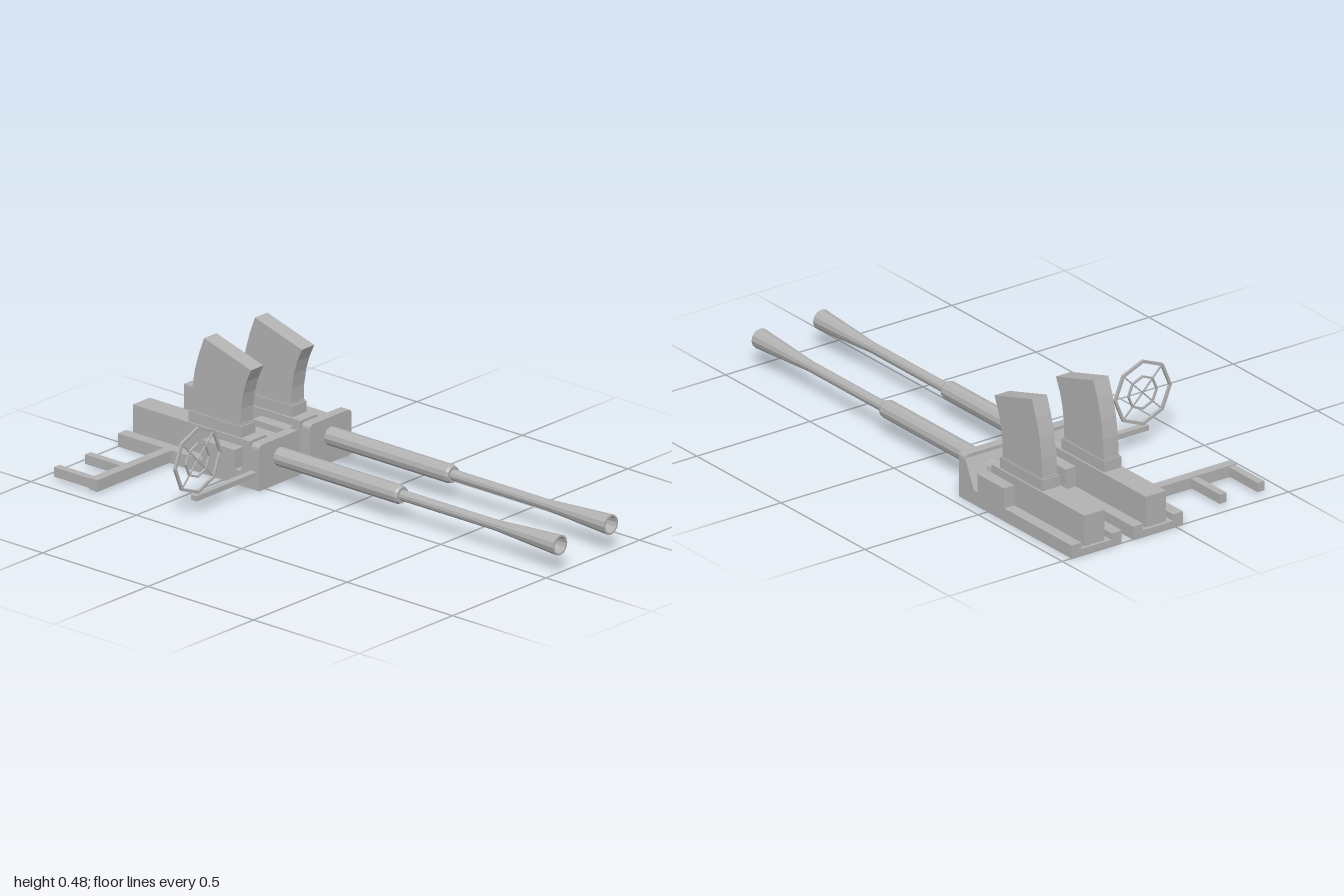
import * as THREE from 'three';

const steel = new THREE.MeshStandardMaterial({ color: 0xb2b2b2, flatShading: true });
steel.name = 'steelGrey';

function add(parent, name, geometry) {
  const mesh = new THREE.Mesh(geometry, steel);
  mesh.name = name;
  parent.add(mesh);
  return mesh;
}

// Box given by its minimum and maximum on each axis
function box(parent, name, x0, x1, y0, y1, z0, z1) {
  const mesh = add(parent, name, new THREE.BoxGeometry(x1 - x0, y1 - y0, z1 - z0));
  mesh.position.set((x0 + x1) / 2, (y0 + y1) / 2, (z0 + z1) / 2);
  return mesh;
}

// Side profile of [z, y] points, extruded across x and centred on x = 0
function sideExtrude(parent, name, points, width) {
  const shape = new THREE.Shape(points.map(([z, y]) => new THREE.Vector2(-z, y)));
  const geometry = new THREE.ExtrudeGeometry(shape, { depth: width, bevelEnabled: false });
  geometry.translate(0, 0, -width / 2).rotateY(Math.PI / 2);
  return add(parent, name, geometry);
}

function createGun(name, x) {
  const gun = new THREE.Group();
  gun.name = name;
  gun.position.x = x;
  const half = 0.111;

  // Cradle: floor, side rails and cheek blocks
  box(gun, 'cradleFloor', -half, half, 0, 0.025, -1, -0.37);
  for (const s of [-1, 1]) {
    const a = s * 0.066, b = s * half, c = s * 0.113;
    box(gun, 'rail', Math.min(a, b), Math.max(a, b), 0.025, 0.05, -1, -0.43);
    box(gun, 'cheekBlock', Math.min(a, c), Math.max(a, c), 0.02, 0.128, -0.6, -0.445);
  }

  // Front plate with rounded upper corners
  const r = 0.02, top = 0.173;
  const plate = new THREE.Shape();
  plate.moveTo(-half, 0);
  plate.lineTo(half, 0);
  plate.lineTo(half, top - r);
  plate.quadraticCurveTo(half, top, half - r, top);
  plate.lineTo(-half + r, top);
  plate.quadraticCurveTo(-half, top, -half, top - r);
  const plateGeometry = new THREE.ExtrudeGeometry(plate, { depth: 0.038, bevelEnabled: false, curveSegments: 4 });
  add(gun, 'frontPlate', plateGeometry).position.z = -0.368;
  sideExtrude(gun, 'plateBrace', [[-0.368, 0.02], [-0.368, 0.16], [-0.42, 0.055], [-0.445, 0.055], [-0.445, 0.02]], half * 2);

  // Receiver
  box(gun, 'receiver', -0.045, 0.045, 0.025, 0.144, -0.987, -0.435);

  // Curved magazine in a stepped collar
  box(gun, 'magazineCollar', -0.038, 0.038, 0.144, 0.186, -0.73, -0.478);
  box(gun, 'collarLip', -0.034, 0.034, 0.186, 0.192, -0.725, -0.483);
  sideExtrude(gun, 'magazine', [
    [-0.487, 0.185], [-0.485, 0.25], [-0.475, 0.31], [-0.46, 0.36], [-0.437, 0.41],
    [-0.66, 0.476], [-0.685, 0.41], [-0.705, 0.34], [-0.717, 0.265], [-0.722, 0.185],
  ], 0.066);

  // Barrel with sleeve, flared muzzle and open bore
  const profile = [
    [0, -0.44], [0.035, -0.43], [0.035, 0.242], [0.031, 0.252], [0.02, 0.252], [0.02, 0.7],
    [0.025, 0.78], [0.038, 1], [0.031, 1], [0.019, 0.85], [0, 0.85],
  ].map(([radius, z]) => new THREE.Vector2(radius, z));
  const barrel = add(gun, 'barrel', new THREE.LatheGeometry(profile, 12).rotateX(Math.PI / 2));
  barrel.position.y = 0.102;
  return gun;
}

// Flat octagonal ring with a vertex at the top
function octagonRing(parent, name, outer, inner, depth) {
  const corners = (radius) => Array.from({ length: 8 }, (_, i) =>
    new THREE.Vector2(Math.cos(i * Math.PI / 4) * radius, Math.sin(i * Math.PI / 4) * radius));
  const shape = new THREE.Shape(corners(outer));
  shape.holes.push(new THREE.Path(corners(inner)));
  const geometry = new THREE.ExtrudeGeometry(shape, { depth, bevelEnabled: false });
  add(parent, name, geometry.translate(0, 0, -depth / 2));
}

export function createModel() {
  const model = new THREE.Group();
  model.name = 'twinGun';
  model.add(createGun('rightGun', 0.076), createGun('leftGun', 0.348));

  // Ring sight on its arm
  box(model, 'sightArm', -0.355, -0.03, 0.05, 0.07, -0.368, -0.342);
  const sight = new THREE.Group();
  sight.name = 'ringSight';
  sight.position.set(-0.335, 0.198, -0.355);
  octagonRing(sight, 'outerRing', 0.127, 0.116, 0.01);
  octagonRing(sight, 'innerRing', 0.066, 0.059, 0.008);
  for (const s of [-1, 1]) {
    add(sight, 'spoke', new THREE.BoxGeometry(0.238, 0.005, 0.005)).rotation.z = s * Math.PI / 4;
  }
  model.add(sight);

  // Rear bracket with two prongs
  box(model, 'rearBracket', -0.432, -0.03, 0.006, 0.05, -0.783, -0.745);
  for (const x of [-0.428, -0.26]) {
    box(model, 'bracketProng', x, x + 0.03, 0.01, 0.046, -0.955, -0.78);
  }
  return model;
}
